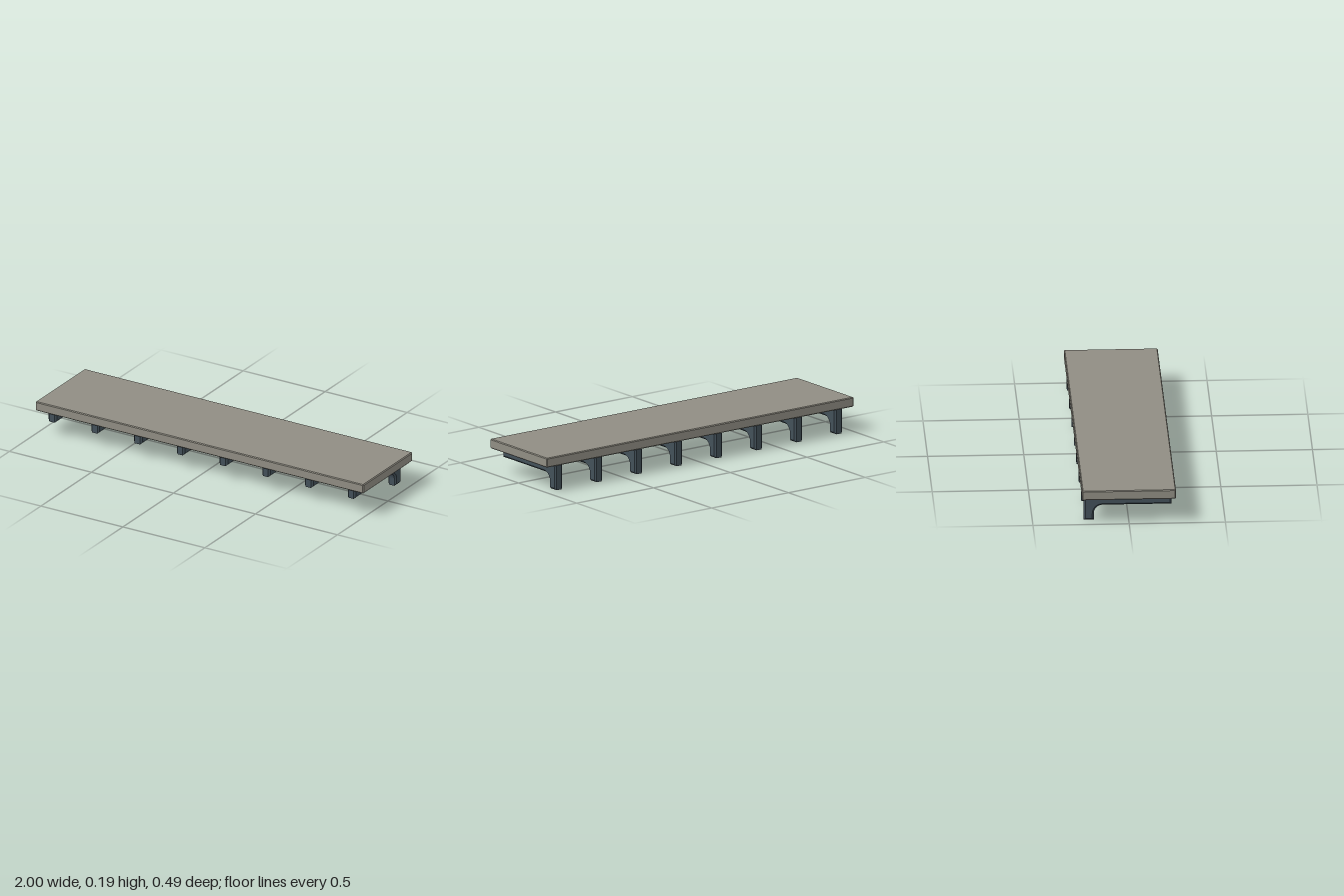
import * as THREE from 'three';
import { ConvexGeometry } from 'three/addons/geometries/ConvexGeometry.js';

const stone = new THREE.MeshStandardMaterial({ color: 0x908d83 });
stone.name = 'warm grey stone';
const steel = new THREE.MeshStandardMaterial({ color: 0x435059 });
steel.name = 'blue grey steel';

// Box with all edges chamfered by c
function chamferBox(w, h, d, c) {
  const pts = [];
  for (const sx of [-1, 1]) for (const sy of [-1, 1]) for (const sz of [-1, 1]) {
    for (const [ix, iy, iz] of [[0, c, c], [c, 0, c], [c, c, 0]]) {
      pts.push(new THREE.Vector3(sx * (w / 2 - ix), sy * (h / 2 - iy), sz * (d / 2 - iz)));
    }
  }
  return new ConvexGeometry(pts);
}

// L-shaped bracket with a filleted inner corner; profile x becomes z
function bracketGeometry() {
  const front = 0.223, back = -0.233, top = 0.134, under = 0.081, leg = -0.18, r = 0.045;
  const width = 0.05, bevel = 0.009;
  const s = new THREE.Shape();
  s.moveTo(back, 0);
  s.lineTo(leg, 0);
  s.lineTo(leg, under - r);
  s.absarc(leg + r, under - r, r, Math.PI, Math.PI / 2, true);
  s.lineTo(front, under);
  s.lineTo(front, top);
  s.lineTo(back, top);
  s.closePath();
  const g = new THREE.ExtrudeGeometry(s, {
    depth: width - 2 * bevel, curveSegments: 6,
    bevelEnabled: true, bevelSegments: 1,
    bevelSize: bevel, bevelThickness: bevel, bevelOffset: -bevel,
  });
  g.translate(0, 0, -(width / 2 - bevel));
  g.rotateY(-Math.PI / 2);
  return g;
}

export function createModel() {
  const model = new THREE.Group();
  model.name = 'bracketedLedge';

  // Slab
  const slab = new THREE.Mesh(chamferBox(2, 0.051, 0.487, 0.0045), stone);
  slab.name = 'slab';
  slab.position.y = 0.1595;
  model.add(slab);

  // Row of brackets
  const geometry = bracketGeometry();
  const count = 8, spacing = 0.2605;
  for (let i = 0; i < count; i++) {
    const bracket = new THREE.Mesh(geometry, steel);
    bracket.name = `bracket${i + 1}`;
    bracket.position.x = (i - (count - 1) / 2) * spacing;
    model.add(bracket);
  }
  return model;
}
